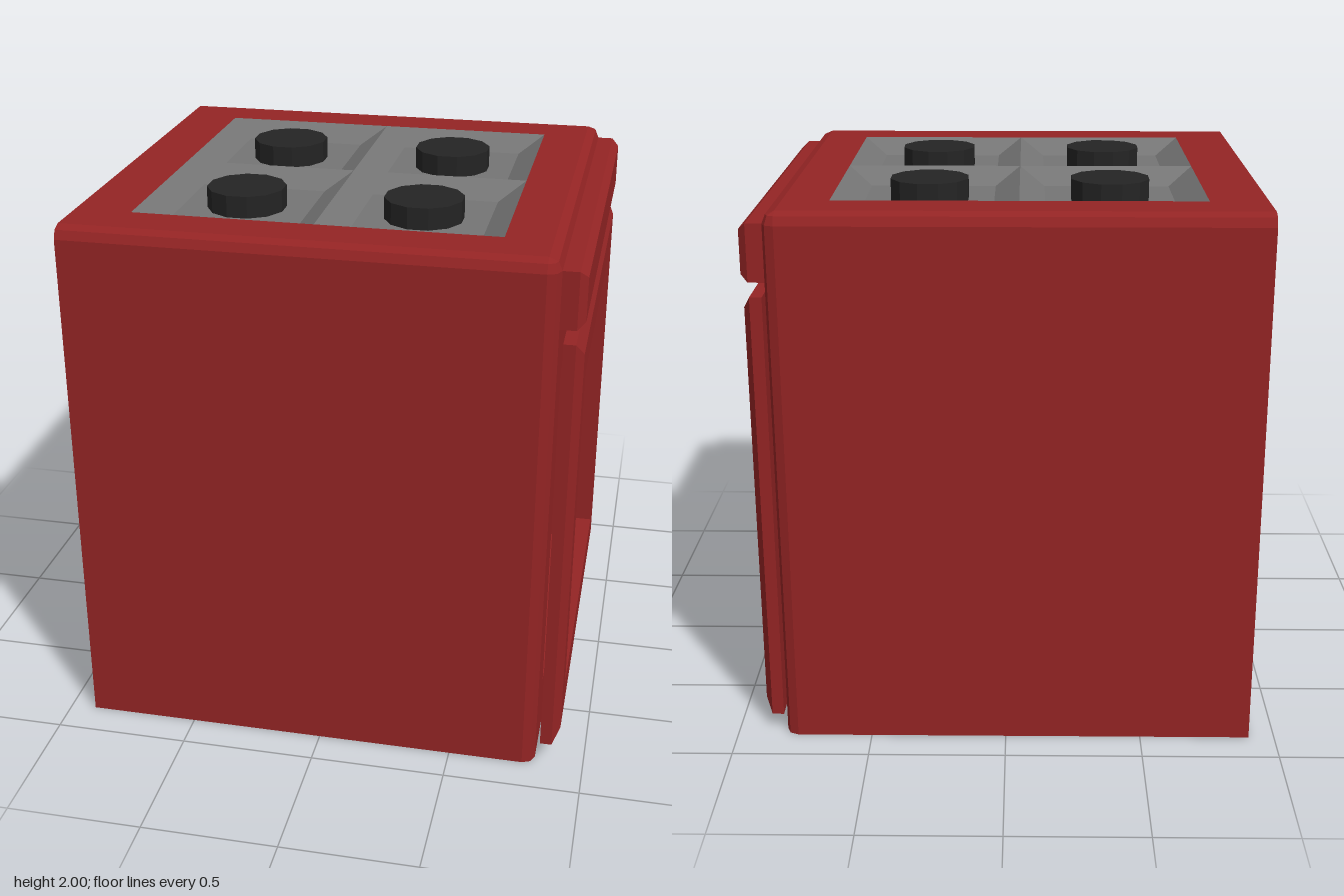
import * as THREE from 'three';

const red = new THREE.MeshStandardMaterial({ color: 0x942424, side: THREE.DoubleSide });
red.name = 'enamel red';
const grey = new THREE.MeshStandardMaterial({ color: 0x757575, side: THREE.DoubleSide });
grey.name = 'steel grey';
const black = new THREE.MeshStandardMaterial({ color: 0x242424 });
black.name = 'burner black';

// Cabinet limits and edge rounding
const BACK = -0.905, FRONT = 0.82, HALF = 0.865, TOP = 1.98, R = 0.045;
// Window opening, shared by the cabinet and the door
const WIN = { y: 0.865, hy: 0.64, hz: 0.64 };

// Faceted skin joining successive rings of [x, y, z] points
function skin(rings, closed = true) {
  const pos = [];
  for (let i = 0; i < rings.length - 1; i++) {
    const n = rings[i].length;
    for (let j = 0; j < (closed ? n : n - 1); j++) {
      const k = (j + 1) % n;
      const a = rings[i][j], b = rings[i][k], c = rings[i + 1][k], d = rings[i + 1][j];
      pos.push(...a, ...d, ...c, ...a, ...c, ...b);
    }
  }
  const g = new THREE.BufferGeometry();
  g.setAttribute('position', new THREE.Float32BufferAttribute(pos, 3));
  g.computeVertexNormals();
  return g;
}

// Rectangles lying across the x axis and across the y axis
const rectX = (x, y, hy, hz) =>
  [[-1, -1], [-1, 1], [1, 1], [1, -1]].map(([v, w]) => [x, y + v * hy, w * hz]);
const rectY = (y, x, z, hx, hz) =>
  [[-1, -1], [1, -1], [1, 1], [-1, 1]].map(([u, w]) => [x + u * hx, y, z + w * hz]);

// Cabinet plan, inset by d, with rounded front corners
function plan(y, d) {
  const pts = [[BACK, y, -(HALF - d)]];
  for (const s of [-1, 1]) {
    const angles = s < 0 ? [-90, -45, 0] : [0, 45, 90];
    for (const deg of angles) {
      const a = THREE.MathUtils.degToRad(deg);
      pts.push([FRONT - R + (R - d) * Math.cos(a), y, s * (HALF - R) + (R - d) * Math.sin(a)]);
    }
  }
  pts.push([BACK, y, HALF - d]);
  return pts;
}

function flatShape(points, hole) {
  const s = new THREE.Shape(points.map(p => new THREE.Vector2(...p)));
  if (hole) s.holes.push(new THREE.Path(hole.map(p => new THREE.Vector2(...p))));
  return new THREE.ShapeGeometry(s);
}
const rect = (x0, y0, x1, y1) => [[x0, y0], [x1, y0], [x1, y1], [x0, y1]];

export function createModel() {
  const model = new THREE.Group();
  model.name = 'stove';
  const add = (name, geometry, material, parent = model) => {
    const m = new THREE.Mesh(geometry, material);
    m.name = name;
    parent.add(m);
    return m;
  };

  // Cabinet: hollow thin shell, sides, rounded shoulders, top, bottom and front
  const cabinet = new THREE.Group();
  cabinet.name = 'cabinet';
  model.add(cabinet);
  const low = plan(0, 0), high = plan(TOP - R, 0);
  const sides = [[0, 4], [4, 8]]; // the front segment is left open
  sides.forEach(([a, b], i) => add(i ? 'leftSide' : 'rightSide',
    skin([low.slice(a, b), high.slice(a, b)], false), red, cabinet));
  add('backWall', skin([[low[7], low[0]], [high[7], high[0]]], false), red, cabinet);
  const k = R * (1 - Math.SQRT1_2);
  add('shoulder', skin([high, plan(TOP - k, k), plan(TOP, R)]), red, cabinet);

  const topHole = rect(-0.70, -0.655, 0.61, 0.655);
  const top = add('topFrame',
    flatShape(rect(BACK, -HALF + R, FRONT - R, HALF - R), topHole), red, cabinet);
  top.rotation.x = -Math.PI / 2;
  top.position.y = TOP;

  const bottom = add('bottom', flatShape(low.map(p => [p[0], p[2]])), red, cabinet);
  bottom.rotation.x = Math.PI / 2;

  const front = add('frontFrame', flatShape(
    rect(-HALF + R, 0, HALF - R, TOP - R),
    rect(-WIN.hz, WIN.y - WIN.hy, WIN.hz, WIN.y + WIN.hy)), red, cabinet);
  front.rotation.y = Math.PI / 2;
  front.position.x = FRONT;

  // Small rack holders on the inner back wall
  for (const y of [0.41, 0.79, 1.17]) {
    for (const s of [-1, 1]) {
      const holder = add('rackHolder', new THREE.BoxGeometry(0.04, 0.025, 0.04), red, cabinet);
      holder.position.set(BACK + 0.02, y, s * 0.64);
    }
  }

  // Door: bevelled frame around the open window
  add('door', skin([
    rectX(0.835, WIN.y, WIN.hy, WIN.hz),
    rectX(0.835, 0.865, 0.81, 0.81),
    rectX(0.878, 0.865, 0.81, 0.81),
    rectX(0.905, 0.865, 0.762, 0.762),
    rectX(0.905, WIN.y, WIN.hy, WIN.hz),
    rectX(0.835, WIN.y, WIN.hy, WIN.hz),
  ]), red);

  // Control panel: bevelled bar above the door
  add('controlPanel', skin([
    rectX(FRONT, 1.8325, 0, 0.72),
    rectX(FRONT, 1.8325, 0.1025, 0.82),
    rectX(0.878, 1.8325, 0.1025, 0.82),
    rectX(0.905, 1.8325, 0.078, 0.795),
    rectX(0.905, 1.8325, 0, 0.72),
  ]), red);

  // Hob: four sloped wells, each with a twelve-sided burner
  for (const x of [-0.3725, 0.2825]) {
    for (const z of [-0.3275, 0.3275]) {
      add('hobWell', skin([
        rectY(TOP, x, z, 0.3275, 0.3275),
        rectY(1.92, x, z, 0.235, 0.235),
        rectY(1.92, x, z, 0, 0),
      ]), grey);
      const disc = new THREE.CylinderGeometry(0.145, 0.145, 0.095, 12).toNonIndexed();
      disc.computeVertexNormals();
      const burner = add('burner', disc, black);
      burner.rotation.y = Math.PI / 12;
      burner.position.set(x, 1.9525, z);
    }
  }
  return model;
}
